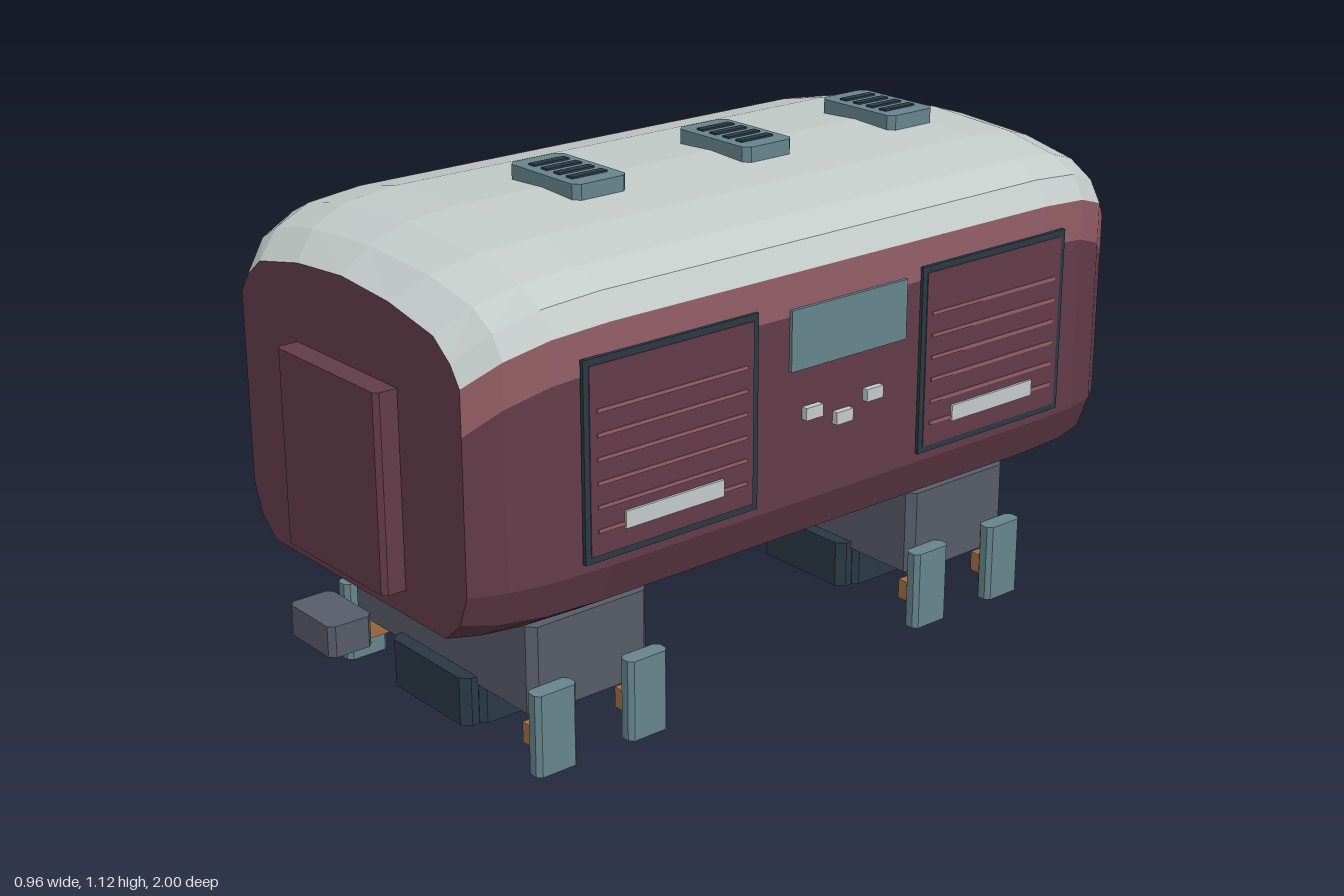
import * as THREE from 'three';

const mat = (name, color, extra) => {
  const m = new THREE.MeshStandardMaterial({ color });
  m.name = name;
  m.flatShading = true;
  return m;
};

// Half cross-sections, top centre to bottom edge: middle of the carriage and its ends
const MID = [[0, 1.09], [0.24, 1.077], [0.37, 1.05], [0.437, 1.018], [0.467, 0.965],
  [0.467, 0.875], [0.467, 0.47], [0.435, 0.385], [0.35, 0.335]];
const END = [[0, 1.0], [0.16, 0.988], [0.305, 0.958], [0.357, 0.917], [0.385, 0.875],
  [0.385, 0.78], [0.385, 0.455], [0.36, 0.39], [0.31, 0.345]];
// Stations along z with the blend from MID to END
const STATIONS = [[-0.885, 1], [-0.82, 0.45], [-0.73, 0.12], [-0.6, 0],
  [0.6, 0], [0.73, 0.12], [0.82, 0.45], [0.885, 1]];

function ring(z, t) {
  const half = MID.map(([x, y], i) => [x + (END[i][0] - x) * t, y + (END[i][1] - y) * t, z]);
  const mirrored = half.slice(1).reverse().map(([x, y]) => [-x, y, z]);
  return [...half, ...mirrored];
}

// Lofted carriage skin, split into roof, shoulder band and shell
function carriageParts() {
  const rings = STATIONS.map(([z, t]) => ring(z, t));
  const n = rings[0].length;
  const parts = { roof: [], band: [], shell: [] };
  for (let j = 0; j < n; j++) {
    const k = j > 8 ? 16 - j : j;
    const out = k < 4 ? parts.roof : k === 4 ? parts.band : parts.shell;
    const next = (j + 1) % n;
    for (let i = 0; i + 1 < rings.length; i++) {
      const a = rings[i][j], b = rings[i][next], c = rings[i + 1][next], d = rings[i + 1][j];
      out.push(...a, ...d, ...c, ...a, ...c, ...b);
    }
    // flat end walls
    const back = rings[0], front = rings[rings.length - 1];
    parts.shell.push(0, 0.65, -0.885, ...back[j], ...back[next]);
    parts.shell.push(0, 0.65, 0.885, ...front[next], ...front[j]);
  }
  return parts;
}

function geometryFrom(positions) {
  const g = new THREE.BufferGeometry();
  g.setAttribute('position', new THREE.Float32BufferAttribute(positions, 3));
  g.computeVertexNormals();
  return g;
}

// Block centred on its own origin with its four upright edges cut off
function block(w, h, d, cut) {
  if (!cut) return new THREE.BoxGeometry(w, h, d);
  const x = w / 2, y = d / 2;
  const s = new THREE.Shape([[x - cut, -y], [x, cut - y], [x, y - cut], [x - cut, y],
    [cut - x, y], [-x, y - cut], [-x, cut - y], [cut - x, -y]].map(p => new THREE.Vector2(...p)));
  const g = new THREE.ExtrudeGeometry(s, { depth: h, bevelEnabled: false });
  return g.translate(0, 0, -h / 2).rotateX(-Math.PI / 2);
}

export function createModel() {
  const maroon = mat('maroon', 0x643c4a);
  const rose = mat('rose', 0x955f67);
  const paleGrey = mat('pale grey', 0xc4ccca);
  const slate = mat('slate', 0x585d6a);
  const teal = mat('teal', 0x66868d);
  const navy = mat('navy', 0x2b3945);
  const copper = mat('copper', 0xa66f42);

  const model = new THREE.Group();
  model.name = 'railCarriage';
  const add = (parent, name, geometry, material, x = 0, y = 0, z = 0) => {
    const m = new THREE.Mesh(geometry, material);
    m.name = name;
    m.position.set(x, y, z);
    parent.add(m);
    return m;
  };
  const group = (name, z = 0) => {
    const g = new THREE.Group();
    g.name = name;
    g.position.z = z;
    model.add(g);
    return g;
  };

  // Carriage body
  const body = group('body');
  const skin = carriageParts();
  add(body, 'roof', geometryFrom(skin.roof), paleGrey);
  add(body, 'shoulderBand', geometryFrom(skin.band), rose);
  add(body, 'shell', geometryFrom(skin.shell), maroon);

  // End doors and couplers
  for (const s of [1, -1]) {
    add(model, 'endDoor', block(0.354, 0.42, 0.06, 0.01), maroon, 0, 0.61, s * 0.905);
    add(model, 'coupler', block(0.156, 0.067, 0.1, 0.012), slate, 0, 0.283, s * 0.95);
  }

  // Roof vents with four slots each
  for (const z of [-0.543, -0.117, 0.335]) {
    const vent = group('roofVent', z);
    add(vent, 'ventCover', block(0.23, 0.038, 0.136, 0.014), teal, 0, 1.098, 0);
    for (let i = 0; i < 4; i++) {
      add(vent, 'ventSlot', block(0.02, 0.008, 0.09), navy, -0.063 + i * 0.042, 1.117, 0);
    }
  }

  // Side panels, screens and lamps on both sides
  for (const s of [1, -1]) {
    for (const z of [0.452, -0.44]) {
      const panel = group('sidePanel', z);
      add(panel, 'panelFrame', block(0.009, 0.415, 0.436), navy, s * 0.47, 0.698, 0);
      add(panel, 'panelFace', block(0.004, 0.387, 0.41), maroon, s * 0.4745, 0.698, 0);
      for (const y of [0.8, 0.751, 0.702, 0.653, 0.604, 0.555]) {
        add(panel, 'louvre', block(0.004, 0.008, 0.376), rose, s * 0.4765, y, 0);
      }
      add(panel, 'panelPlate', block(0.006, 0.036, 0.248), paleGrey, s * 0.479, 0.563, 0);
    }
    add(model, 'sideScreen', block(0.009, 0.13, 0.322), teal, s * 0.47, 0.825, -0.016);
    for (const [z, y] of [[0.085, 0.663], [0, 0.633], [-0.085, 0.663]]) {
      add(model, 'sideLamp', block(0.02, 0.027, 0.046), paleGrey, s * 0.471, y, z);
    }
  }

  // Bogies with a lower equipment case and four upright side pads
  for (const z of [0.543, -0.515]) {
    const bogie = group('bogie', z);
    add(bogie, 'bogieFrame', block(0.65, 0.192, 0.306, 0.018), slate, 0, 0.214, 0);
    add(bogie, 'equipmentCase', block(0.272, 0.108, 0.37, 0.018), navy, 0, 0.081, 0);
    add(bogie, 'caseSides', block(0.298, 0.09, 0.3, 0.012), navy, 0, 0.073, 0);
    for (const sx of [1, -1]) {
      for (const sz of [1, -1]) {
        add(bogie, 'sidePad', block(0.04, 0.181, 0.102, 0.01), teal, sx * 0.345, 0.0905, sz * 0.118);
        add(bogie, 'axleStub', block(0.032, 0.046, 0.08), copper, sx * 0.314, 0.076, sz * 0.118);
      }
    }
  }
  return model;
}
